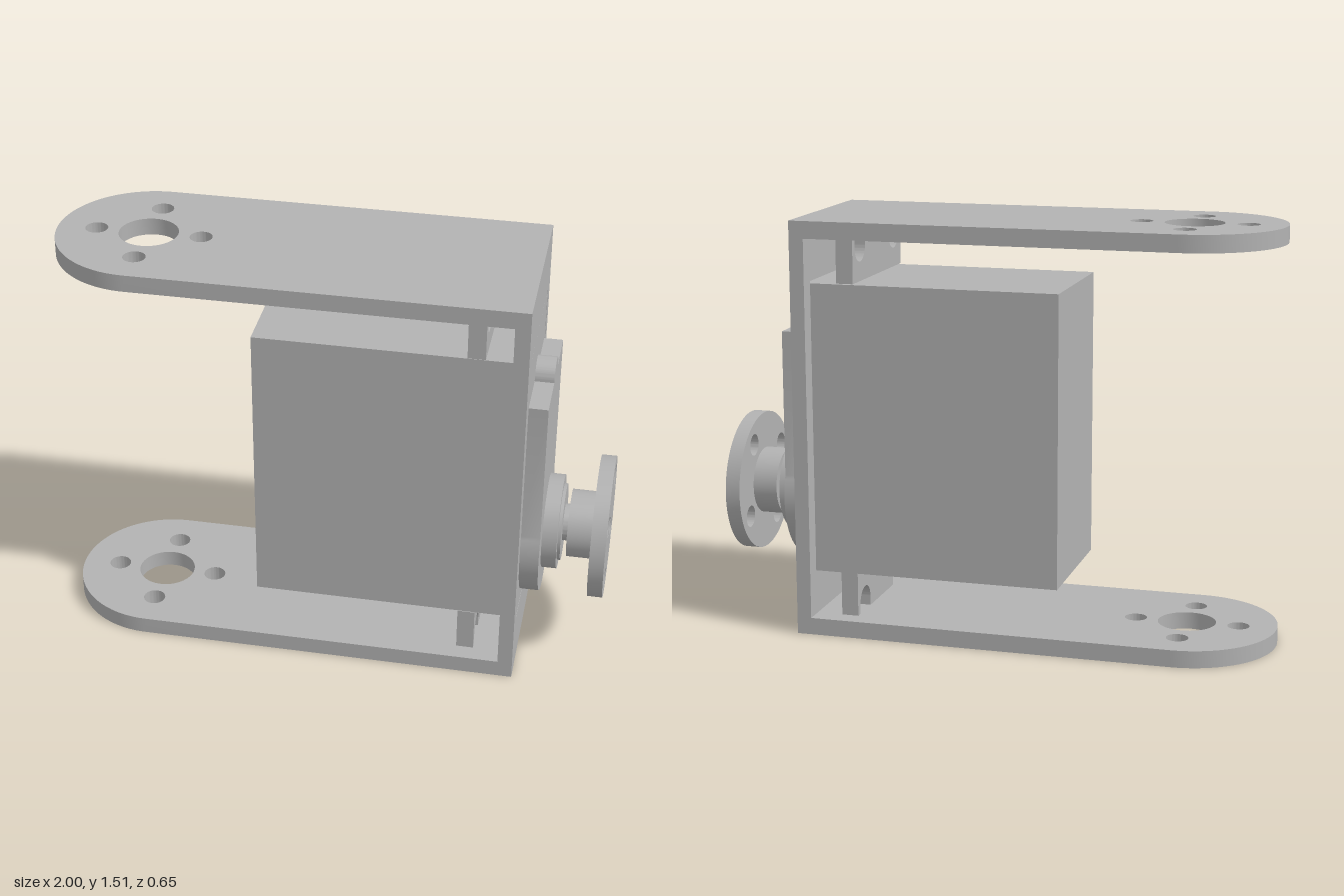
import * as THREE from 'three';
import { toCreasedNormals } from 'three/addons/utils/BufferGeometryUtils.js';

const AXIS_Y = 0.483; // height of the output shaft

export function createModel() {
  const model = new THREE.Group();
  const grey = new THREE.MeshStandardMaterial({ color: 0xb2b2b2 });
  grey.name = 'grey';

  const add = (name, geometry, parent = model) => {
    const mesh = new THREE.Mesh(geometry, grey);
    mesh.name = name;
    parent.add(mesh);
    return mesh;
  };
  const extrude = (shape, depth) => toCreasedNormals(
    new THREE.ExtrudeGeometry(shape, { depth, bevelEnabled: false, curveSegments: 32 }), 0.5);
  // shape drawn in (-z, y), extruded from x0 to x1
  const alongX = (shape, x0, x1) => extrude(shape, x1 - x0).rotateY(Math.PI / 2).translate(x0, 0, 0);
  const hole = (shape, x, y, r) => shape.holes.push(new THREE.Path().absarc(x, y, r, 0, Math.PI * 2, true));
  const rect = (Type, x0, y0, x1, y1) => new Type().moveTo(x0, y0).lineTo(x1, y0).lineTo(x1, y1).lineTo(x0, y1).closePath();

  // Bracket: two round-ended arms joined by an upright plate
  const bracket = new THREE.Group();
  bracket.name = 'bracket';
  model.add(bracket);
  const arm = new THREE.Shape();
  arm.moveTo(0.65, -0.326);
  arm.lineTo(0.65, 0.326);
  arm.lineTo(-0.674, 0.326);
  arm.absarc(-0.674, 0, 0.326, Math.PI / 2, Math.PI * 1.5, false);
  hole(arm, -0.674, 0, 0.105);
  for (let i = 0; i < 4; i++) {
    const a = i * Math.PI / 2;
    hole(arm, -0.674 + 0.188 * Math.cos(a), 0.188 * Math.sin(a), 0.04);
  }
  for (const [name, y] of [['lowerArm', 0], ['upperArm', 1.448]]) {
    add(name, extrude(arm, 0.062).rotateX(-Math.PI / 2).translate(0, y, 0), bracket);
  }
  const plate = rect(THREE.Shape, -0.326, 0, 0.326, 1.51);
  plate.holes.push(rect(THREE.Path, -0.265, 0.225, 0.265, 1.29));
  add('uprightPlate', alongX(plate, 0.65, 0.703), bracket);

  // Motor case filling the plate opening, with a thin gap at the top and front edge
  add('motorCase', new THREE.BoxGeometry(0.957, 1.057, 0.527).translate(0.2235, 0.7535, -0.0015));

  // Slotted mounting ears above and below the case
  const ear = new THREE.Shape();
  ear.moveTo(-0.265, 0.16);
  ear.lineTo(-0.265, 0);
  for (const z of [-0.185, 0.185]) {
    ear.lineTo(z - 0.055, 0);
    ear.lineTo(z - 0.055, 0.035);
    ear.absarc(z, 0.035, 0.055, Math.PI, 0, true);
    ear.lineTo(z + 0.055, 0);
  }
  ear.lineTo(0.265, 0);
  ear.lineTo(0.265, 0.16);
  add('lowerEar', alongX(ear, 0.49, 0.552).translate(0, 0.065, 0));
  add('upperEar', alongX(ear, -0.552, -0.49).rotateZ(Math.PI).translate(0, 1.445, 0));

  // Raised gearbox cover with a round bottom and a small cable bump
  const cover = new THREE.Shape();
  const a = Math.acos(0.243 / 0.258);
  cover.moveTo(0.243, 1.1);
  cover.lineTo(0.06, 1.1);
  cover.absarc(0, 1.1, 0.062, 0, Math.PI, false);
  cover.lineTo(-0.243, 1.1);
  cover.absarc(0, AXIS_Y, 0.258, Math.PI - a, Math.PI * 2 + a, false);
  add('gearboxCover', alongX(cover, 0.702, 0.77));

  // Stepped shaft boss and hub with a bore
  const profile = [
    [0.172, 0.77], [0.172, 0.824], [0.14, 0.824], [0.14, 0.835], [0.067, 0.835], [0.067, 0.855],
    [0.123, 0.855], [0.123, 0.946], [0.025, 0.946], [0.025, 0.77],
  ].map(([r, x]) => new THREE.Vector2(r, x));
  add('shaftHub', toCreasedNormals(new THREE.LatheGeometry(profile, 64), 0.5)
    .rotateZ(-Math.PI / 2).translate(0, AXIS_Y, 0));

  // Output disc with four screw holes and a centre hole
  const disc = new THREE.Shape().absarc(0, 0, 0.258, 0, Math.PI * 2, false);
  hole(disc, 0, 0, 0.037);
  for (let i = 0; i < 4; i++) {
    const t = 0.98 + i * Math.PI / 2;
    hole(disc, 0.188 * Math.cos(t), 0.188 * Math.sin(t), 0.04);
  }
  add('outputDisc', alongX(disc, 0.946, 1).translate(0, AXIS_Y, 0));

  return model;
}
